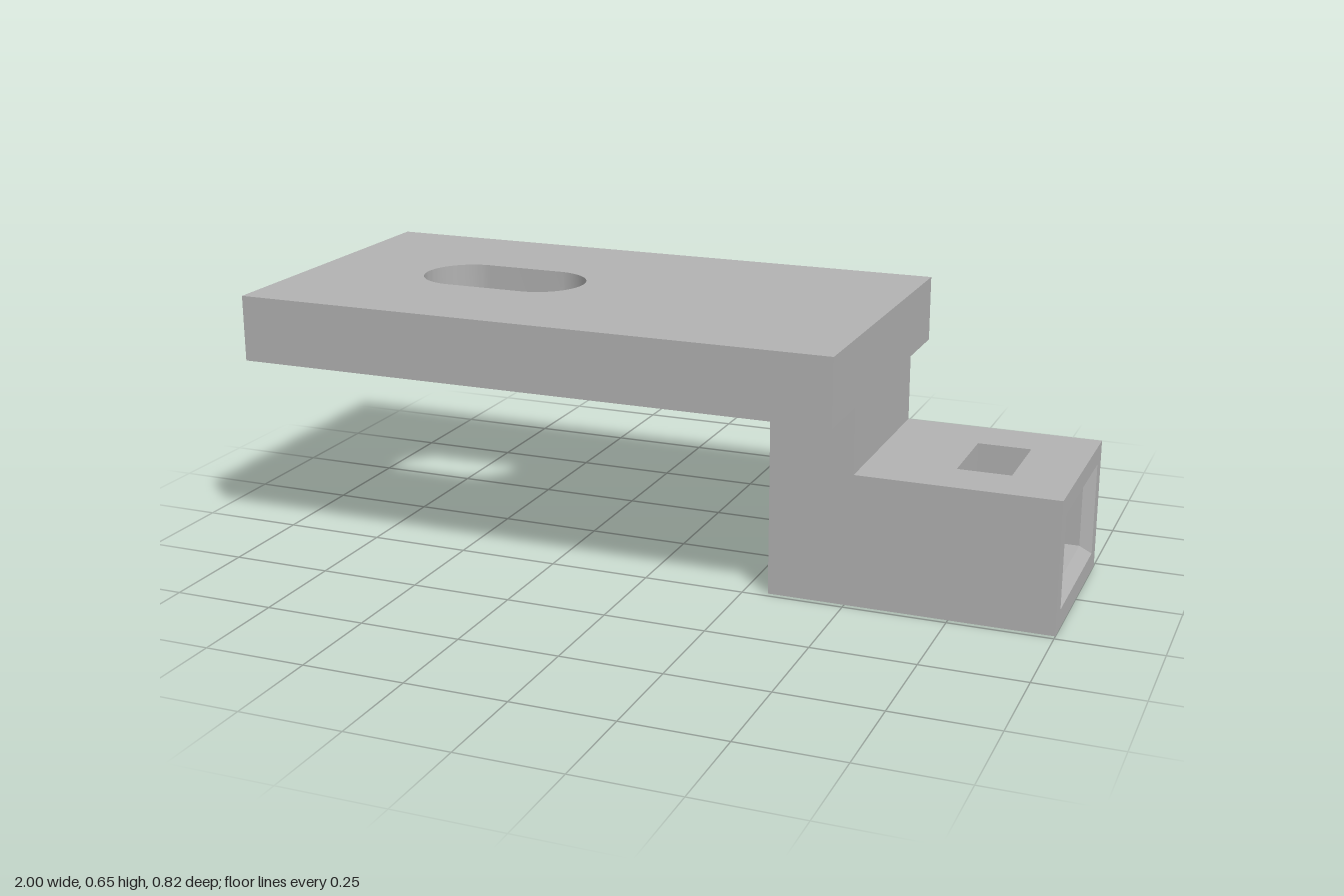
import * as THREE from 'three';
import { toCreasedNormals } from 'three/addons/utils/BufferGeometryUtils.js';

const grey = new THREE.MeshStandardMaterial({ color: 0xb2b2b2 });
grey.name = 'plain grey';

const W = 0.235; // half width of the neck and socket
const H = 0.325; // socket height
const BACK = 0.515; // depth at which the socket ends
const LIP = 0.973; // start of the bevelled mouth
const IN = { y0: 0.073, y1: 0.253, w: 0.166 }; // socket bore

function add(group, name, geometry) {
  const mesh = new THREE.Mesh(geometry, grey);
  mesh.name = name;
  group.add(mesh);
}

function box(x0, x1, y0, y1, z0, z1) {
  return new THREE.BoxGeometry(x1 - x0, y1 - y0, z1 - z0)
    .translate((x0 + x1) / 2, (y0 + y1) / 2, (z0 + z1) / 2);
}

function rect(target, x0, x1, w) {
  target.moveTo(x0, -w).lineTo(x1, -w).lineTo(x1, w).lineTo(x0, w).closePath();
  return target;
}

// Horizontal slab with one opening through it
function slab(x0, x1, w, y0, y1, hole) {
  const shape = rect(new THREE.Shape(), x0, x1, w);
  shape.holes.push(hole);
  const g = new THREE.ExtrudeGeometry(shape, { depth: y1 - y0, bevelEnabled: false, curveSegments: 24 });
  return toCreasedNormals(g.rotateX(-Math.PI / 2).translate(0, y0, 0), 0.5);
}

// Rectangular rings joined in sequence: [x, y0, y1, halfWidth]
function loft(rings) {
  const loops = rings.map(([x, y0, y1, w]) => [[x, y0, w], [x, y0, -w], [x, y1, -w], [x, y1, w]]);
  const pos = [];
  for (let r = 0; r < loops.length - 1; r++) {
    const a = loops[r], b = loops[r + 1];
    for (let i = 0; i < 4; i++) {
      const j = (i + 1) % 4;
      pos.push(...a[i], ...a[j], ...b[j], ...a[i], ...b[j], ...b[i]);
    }
  }
  const g = new THREE.BufferGeometry();
  g.setAttribute('position', new THREE.Float32BufferAttribute(pos, 3));
  g.computeVertexNormals();
  return g;
}

export function createModel() {
  const model = new THREE.Group();
  model.name = 'mountingBracket';

  // Upper plate with a rounded slot
  const r = 0.115, a = -0.705 + r, b = -0.273 - r;
  const slot = new THREE.Path();
  slot.moveTo(a, -r).lineTo(b, -r);
  slot.absarc(b, 0, r, -Math.PI / 2, Math.PI / 2, false);
  slot.lineTo(a, r);
  slot.absarc(a, 0, r, Math.PI / 2, Math.PI * 1.5, false);
  add(model, 'slottedPlate', slab(-1, BACK, 0.41, 0.488, 0.652, slot));

  // Neck joining the plate to the socket
  add(model, 'neck', box(0.31, BACK, 0, 0.488, -W, W));

  // Hollow socket, with a pin hole through floor and roof
  const socket = new THREE.Group();
  socket.name = 'socket';
  const pinHole = () => rect(new THREE.Path(), 0.725, 0.855, 0.104);
  add(socket, 'socketFloor', slab(BACK, LIP, W, 0, IN.y0, pinHole()));
  add(socket, 'socketRoof', slab(BACK, LIP, W, IN.y1, H, pinHole()));
  add(socket, 'leftWall', box(BACK, LIP, IN.y0, IN.y1, IN.w, W));
  add(socket, 'rightWall', box(BACK, LIP, IN.y0, IN.y1, -W, -IN.w));

  // Mouth with a bevelled rim
  add(socket, 'bevelledMouth', loft([
    [LIP, 0, H, W],
    [1, 0, H, W],
    [1, 0.048, 0.278, 0.19],
    [LIP, IN.y0, IN.y1, IN.w],
  ]));
  model.add(socket);
  return model;
}
